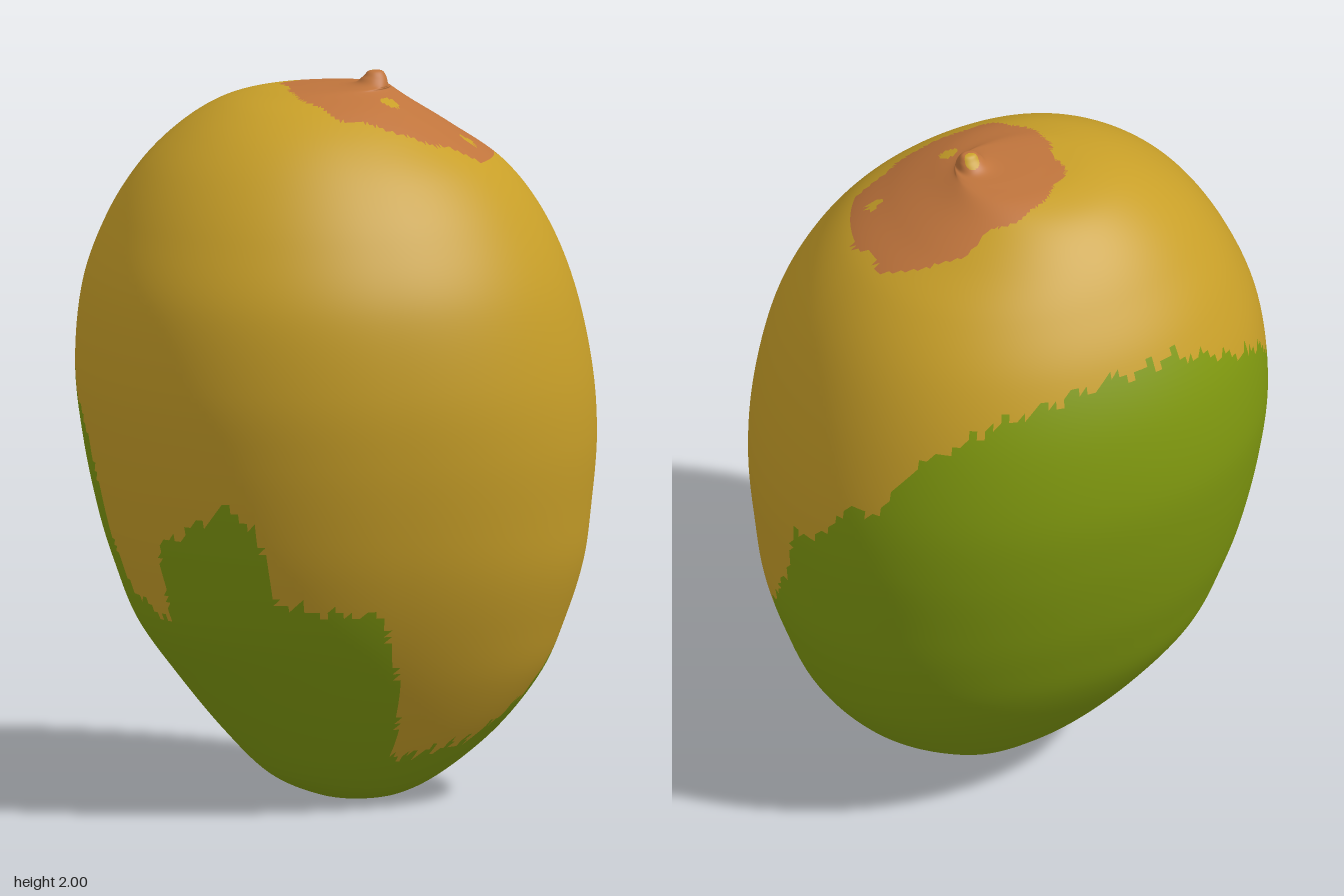
import * as THREE from 'three';

// Cross-sections from base to stem tip: y, xMin, xMax, zMin, zMax
const SECTIONS = [
  [0.00, 0.05, 0.05, 0.04, 0.04],
  [0.02, -0.07, 0.17, -0.06, 0.14],
  [0.08, -0.20, 0.29, -0.14, 0.22],
  [0.20, -0.32, 0.44, -0.265, 0.32],
  [0.35, -0.44, 0.56, -0.39, 0.42],
  [0.50, -0.545, 0.625, -0.485, 0.50],
  [0.65, -0.605, 0.67, -0.545, 0.56],
  [0.80, -0.65, 0.69, -0.59, 0.60],
  [1.00, -0.69, 0.705, -0.63, 0.635],
  [1.20, -0.71, 0.69, -0.645, 0.645],
  [1.42, -0.69, 0.64, -0.615, 0.615],
  [1.60, -0.625, 0.565, -0.545, 0.535],
  [1.74, -0.54, 0.46, -0.45, 0.44],
  [1.84, -0.44, 0.32, -0.36, 0.34],
  [1.91, -0.33, 0.21, -0.27, 0.23],
  [1.945, -0.22, 0.16, -0.18, 0.13],
  [1.955, -0.10, 0.145, -0.09, 0.10],
  [1.96, 0.03, 0.135, -0.03, 0.08],
  [1.98, 0.065, 0.13, 0.00, 0.06],
  [1.996, 0.08, 0.12, 0.015, 0.045],
  [2.00, 0.10, 0.10, 0.03, 0.03],
];

// Upper edge of the green blush: angle in degrees (0 = front, 90 = +x), height
const BLUSH = [
  [-180, 1.58], [-160, 1.58], [-145, 1.51], [-122, 1.38], [-105, 1.19], [-92, 1.02],
  [-88, 0.62], [-68, 0.53], [-65, 0.75], [-50, 0.83], [-40, 0.89], [-34, 0.82],
  [-31, 0.62], [-18, 0.59], [-4, 0.57], [-1, 0.42], [2, 0.15], [40, 0.18],
  [62, 0.31], [79, 0.57], [90, 0.72], [97, 0.85], [100, 1.0], [110, 1.05],
  [115, 1.17], [126, 1.21], [133, 1.38], [154, 1.52], [180, 1.58],
];

// Small unblushed specks inside the stem patch: x, z, radius
const SPECKS = [[0.10, 0.01, 0.02], [0.11, 0.14, 0.025], [0.33, 0.15, 0.021]];

function blushHeight(deg) {
  let k = 1;
  while (k < BLUSH.length - 1 && deg > BLUSH[k][0]) k++;
  const [a, ya] = BLUSH[k - 1], [b, yb] = BLUSH[k];
  const wobble = 0.012 * Math.sin(deg * 0.7) + 0.008 * Math.sin(deg * 1.5 + 1);
  return ya + (yb - ya) * (deg - a) / (b - a) + wobble;
}

function inStemPatch(x, y, z) {
  if (y < 1.6) return false;
  if (SPECKS.some(([sx, sz, r]) => Math.hypot(x - sx, z - sz) < r)) return false;
  const dx = (x - 0.14) / 0.28, dz = (z - 0.035) / 0.245;
  const a = Math.atan2(dz, dx);
  const edge = 1 + 0.025 * Math.sin(a * 9) + 0.02 * Math.sin(a * 14 + 1);
  return Math.pow(Math.abs(dx) ** 2.6 + Math.abs(dz) ** 2.6, 1 / 2.6) < edge;
}

// Lofted skin; each face goes to the yellow, green or russet group
function fruitGeometry(around = 180, perSection = 8) {
  const spline = (i, j) => new THREE.CatmullRomCurve3(
    SECTIONS.map((s) => new THREE.Vector3(s[0], s[i], s[j])), false, 'catmullrom', 0.5);
  const xs = spline(1, 2), zs = spline(3, 4);
  const rows = (SECTIONS.length - 1) * perSection;
  const power = 2 / 2.12;
  const bulge = (v) => Math.sign(v) * Math.abs(v) ** power;
  const positions = [];
  for (let i = 0; i <= rows; i++) {
    const px = xs.getPoint(i / rows), pz = zs.getPoint(i / rows);
    const y = THREE.MathUtils.clamp(px.x, 0, 2);
    for (let j = 0; j < around; j++) {
      const t = (j / around) * Math.PI * 2 - Math.PI;
      positions.push(
        (px.y + px.z) / 2 + (px.z - px.y) / 2 * bulge(Math.sin(t)), y,
        (pz.y + pz.z) / 2 + (pz.z - pz.y) / 2 * bulge(Math.cos(t)));
    }
  }
  const buckets = [[], [], []];
  const addFace = (ids, deg) => {
    const mid = (axis) => ids.reduce((sum, v) => sum + positions[v * 3 + axis], 0) / 3;
    const x = mid(0), y = mid(1), z = mid(2);
    const colour = y < blushHeight(deg) ? 1 : inStemPatch(x, y, z) ? 2 : 0;
    buckets[colour].push(...ids);
  };
  for (let i = 0; i < rows; i++) {
    for (let j = 0; j < around; j++) {
      const a = i * around + j, b = i * around + (j + 1) % around;
      const c = b + around, d = a + around;
      const deg = (j + 0.5) / around * 360 - 180;
      if (i > 0) addFace([a, b, c], deg + 0.3);
      if (i < rows - 1) addFace([a, c, d], deg - 0.3);
      else if (i === rows - 1) addFace([a, b, d], deg);
      if (i === 0) continue;
    }
  }
  const geometry = new THREE.BufferGeometry();
  geometry.setAttribute('position', new THREE.Float32BufferAttribute(positions, 3));
  geometry.setIndex(buckets.flat());
  let start = 0;
  buckets.forEach((bucket, m) => {
    geometry.addGroup(start, bucket.length, m);
    start += bucket.length;
  });
  geometry.computeVertexNormals();
  return geometry;
}

export function createModel() {
  const material = (name, color) => {
    const m = new THREE.MeshStandardMaterial({ color });
    m.name = name;
    return m;
  };
  const skin = new THREE.Mesh(fruitGeometry(), [
    material('ripe yellow', 0xc89f28),
    material('unripe green', 0x80990f),
    material('stem russet', 0xbf743c),
  ]);
  skin.name = 'fruitSkin';
  const model = new THREE.Group();
  model.name = 'fruit';
  model.add(skin);
  return model;
}
